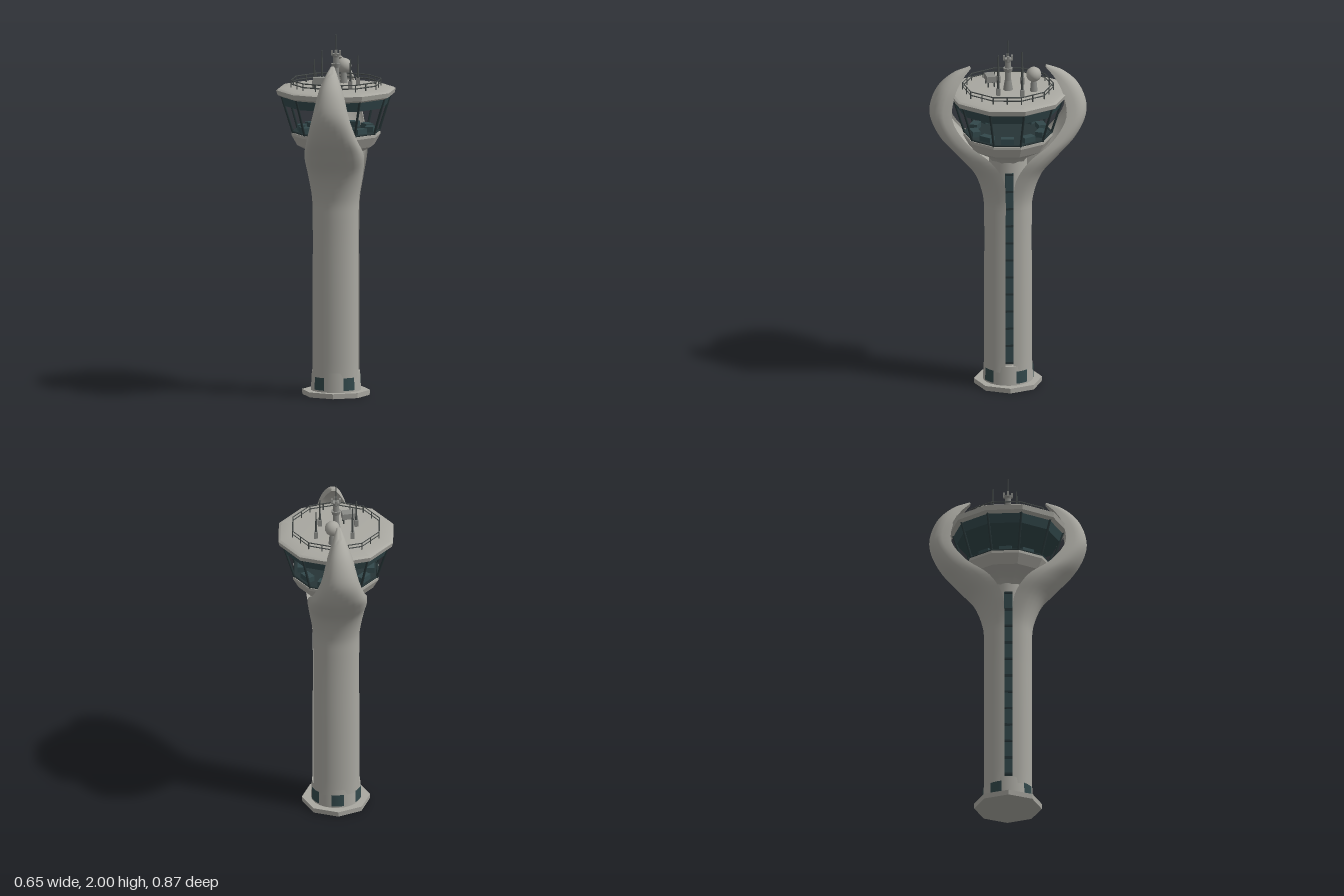
import * as THREE from 'three';
import { toCreasedNormals } from 'three/addons/utils/BufferGeometryUtils.js';

const V = (x, y, z) => new THREE.Vector3(x, y, z);
const TURN = THREE.MathUtils.degToRad(23); // corner offset of the ten-sided cab
const SIDES = 10;

export function createModel() {
  const root = new THREE.Group();
  const paint = (name, color, side = THREE.FrontSide) => {
    const m = new THREE.MeshStandardMaterial({ color, side });
    m.name = name;
    return m;
  };
  const concrete = paint('concrete', 0xa9a8a1);
  const glass = paint('darkGlass', 0x32484b, THREE.DoubleSide);
  const frame = paint('darkFrame', 0x263436);
  const metal = paint('metal', 0x8a8b87);
  const railMat = paint('railing', 0x474c4b);

  const add = (name, geo, mat, x = 0, y = 0, z = 0, parent = root) => {
    const m = new THREE.Mesh(geo, mat);
    m.name = name;
    m.position.set(x, y, z);
    parent.add(m);
    return m;
  };
  const corner = (k, r, y) => {
    const a = TURN + (k / SIDES) * Math.PI * 2;
    return V(r * Math.cos(a), y, r * Math.sin(a));
  };
  const bar = (name, a, b, r, mat) => {
    const m = add(name, new THREE.CylinderGeometry(r, r, a.distanceTo(b), 5), mat);
    m.position.lerpVectors(a, b, 0.5);
    m.quaternion.setFromUnitVectors(V(0, 1, 0), b.clone().sub(a).normalize());
    return m;
  };
  // Ten-sided turned solid, profile listed as [radius, y]
  const decagon = (name, profile, mat) => add(name, toCreasedNormals(new THREE.LatheGeometry(
    profile.map(([r, y]) => new THREE.Vector2(r, y)), SIDES, Math.PI / 2 - TURN), 0.45), mat);

  // Foot plate and entrance drum with windows
  add('footPlate', toCreasedNormals(new THREE.CylinderGeometry(0.188, 0.186, 0.028, 8), 0.5), concrete, 0, 0.014, 0);
  add('entranceDrum', new THREE.CylinderGeometry(0.133, 0.139, 0.11, 24), concrete, 0, 0.08, 0);
  for (const deg of [-120, -37, 37, 120, 180]) {
    const a = THREE.MathUtils.degToRad(deg);
    add('entranceWindow', new THREE.CylinderGeometry(0.139, 0.141, 0.07, 6, 1, true, a - 0.25, 0.5), glass, 0, 0.073, 0);
  }

  // Core column inside the two shells
  add('core', new THREE.CylinderGeometry(0.105, 0.105, 1.28, 24), concrete, 0, 0.72, 0);

  // Shell sections: [outer z, outer y, edge z, edge y, half width, roundness]
  const sections = [
    [0.132, 0.1, 0.022, 0.1, 0.127, 0.85], [0.132, 0.55, 0.022, 0.55, 0.127, 0.85],
    [0.132, 0.98, 0.022, 0.98, 0.127, 0.85], [0.139, 1.1, 0.022, 1.1, 0.131, 0.85],
    [0.19, 1.24, 0.034, 1.23, 0.152, 0.8], [0.286, 1.35, 0.105, 1.345, 0.164, 0.75],
    [0.388, 1.47, 0.235, 1.45, 0.138, 0.7], [0.434, 1.6, 0.315, 1.58, 0.102, 0.65],
    [0.392, 1.735, 0.297, 1.71, 0.07, 0.65], [0.305, 1.818, 0.258, 1.785, 0.04, 0.7],
    [0.212, 1.856, 0.206, 1.845, 0.012, 0.8],
  ];
  const outerLine = new THREE.CatmullRomCurve3(sections.map(s => V(s[4], s[1], s[0])));
  const edgeLine = new THREE.CatmullRomCurve3(sections.map(s => V(s[5], s[3], s[2])));
  const ARC = 12, STEPS = 50, RING = ARC * 2;
  const pos = [], idx = [];
  for (let i = 0; i <= STEPS; i++) {
    const o = outerLine.getPoint(i / STEPS), e = edgeLine.getPoint(i / STEPS);
    for (let j = 0; j < RING; j++) {
      const inner = j > ARC;
      const a = ((inner ? RING - j : j) / ARC - 0.5) * Math.PI;
      const bulge = Math.pow(Math.max(0, Math.cos(a)), e.x) * (inner ? 0.35 : 1);
      pos.push(o.x * Math.sin(a), e.y + (o.y - e.y) * bulge, e.z + (o.z - e.z) * bulge);
      if (i < STEPS) {
        const p = i * RING + j, q = i * RING + (j + 1) % RING;
        idx.push(p, q, q + RING, p, q + RING, p + RING);
      }
    }
  }
  // close the tip
  const last = STEPS * RING;
  for (let j = 1; j < RING - 1; j++) idx.push(last, last + j, last + j + 1);
  let shell = new THREE.BufferGeometry();
  shell.setAttribute('position', new THREE.Float32BufferAttribute(pos, 3));
  shell.setIndex(idx);
  shell = toCreasedNormals(shell, 0.7);
  add('frontShell', shell, concrete);
  add('backShell', shell, concrete).rotation.y = Math.PI;

  // Glazed stair strips in the grooves between the shells
  for (const s of [-1, 1]) {
    add('stairGlass', new THREE.BoxGeometry(0.014, 1.11, 0.046), glass, s * 0.108, 0.705, 0);
    for (let k = 0; k <= 11; k++)
      add('stairGlassBar', new THREE.BoxGeometry(0.008, 0.012, 0.044), frame, s * 0.117, 0.156 + k * 0.1, 0);
  }

  // Control cab: bowl, floor, consoles, mullions and header
  decagon('cabBowl', [[0.1, 1.31], [0.13, 1.345], [0.215, 1.39], [0.246, 1.445], [0.246, 1.46], [0, 1.46]], concrete);
  decagon('cabFloor', [[0.238, 1.461], [0.238, 1.466], [0, 1.466]], frame);
  decagon('cabHeader', [[0, 1.61], [0.284, 1.61], [0.305, 1.672]], glass);
  for (let k = 0; k < SIDES; k++) {
    bar('mullion', corner(k, 0.238, 1.46), corner(k, 0.302, 1.665), 0.007, frame);
    const c = corner(k + 0.5, 0.19, 1.48);
    const desk = add('console', new THREE.BoxGeometry(0.07, 0.034, 0.045), glass, c.x, c.y, c.z);
    desk.rotation.y = Math.atan2(c.x, c.z);
    bar('sill', corner(k, 0.239, 1.466), corner(k + 1, 0.239, 1.466), 0.006, frame);
  }

  // Roof with sloping eave
  decagon('roof', [[0, 1.66], [0.3, 1.66], [0.325, 1.672], [0.332, 1.698], [0.318, 1.706],
    [0.255, 1.712], [0, 1.714]], concrete);

  // Roof railing
  for (const y of [1.732, 1.752]) {
    const g = new THREE.TorusGeometry(0.25, 0.0035, 4, SIDES);
    g.rotateZ(TURN).rotateX(Math.PI / 2);
    add('handRail', g, railMat, 0, y, 0);
  }
  for (let k = 0; k < SIDES; k++) {
    for (const f of [0, 0.5]) {
      const r = f ? 0.25 * Math.cos(Math.PI / SIDES) : 0.25;
      bar('railPost', corner(k + f, r, 1.705), corner(k + f, r, 1.754), 0.0035, railMat);
    }
  }

  // Central mast
  const mast = new THREE.Group();
  mast.name = 'mast';
  root.add(mast);
  add('mastFoot', new THREE.CylinderGeometry(0.018, 0.028, 0.06, 8), metal, 0, 1.74, 0, mast);
  add('mastColumn', new THREE.CylinderGeometry(0.017, 0.018, 0.12, 8), metal, 0, 1.82, 0, mast);
  add('mastCollar', new THREE.CylinderGeometry(0.027, 0.022, 0.022, 8), metal, 0, 1.83, 0, mast);
  add('mastHead', new THREE.CylinderGeometry(0.024, 0.016, 0.022, 8), metal, 0, 1.885, 0, mast);
  for (let k = 0; k < 4; k++) {
    const a = k * Math.PI / 2;
    add('mastLamp', new THREE.BoxGeometry(0.012, 0.03, 0.012), metal, 0.022 * Math.cos(a), 1.9, 0.022 * Math.sin(a), mast);
  }
  add('mastSpike', new THREE.CylinderGeometry(0.002, 0.004, 0.12, 5), railMat, 0, 1.94, 0, mast);

  // Radar dome
  add('domePost', new THREE.CylinderGeometry(0.014, 0.022, 0.08, 8), metal, 0.03, 1.745, -0.14);
  add('radarDome', new THREE.SphereGeometry(0.042, 14, 10), concrete, 0.03, 1.81, -0.14);

  // Whip antennas on small feet
  for (const [x, z, top] of [[-0.085, -0.085, 1.9], [0.115, -0.07, 1.875], [-0.115, 0.045, 1.87], [0.085, 0.06, 1.875]]) {
    add('antennaFoot', new THREE.BoxGeometry(0.022, 0.04, 0.022), metal, x, 1.732, z);
    add('antennaRod', new THREE.CylinderGeometry(0.003, 0.007, top - 1.75, 6), railMat, x, (top + 1.75) / 2, z);
  }

  // Equipment box on legs
  const unit = new THREE.Group();
  unit.name = 'equipmentUnit';
  unit.position.set(-0.078, 0, 0.093);
  unit.rotation.y = 0.13;
  root.add(unit);
  add('equipmentBox', new THREE.BoxGeometry(0.08, 0.034, 0.05), metal, 0, 1.758, 0, unit);
  for (const x of [-0.032, 0.032]) for (const z of [-0.018, 0.018])
    add('equipmentLeg', new THREE.BoxGeometry(0.007, 0.04, 0.007), railMat, x, 1.73, z, unit);

  return root;
}
